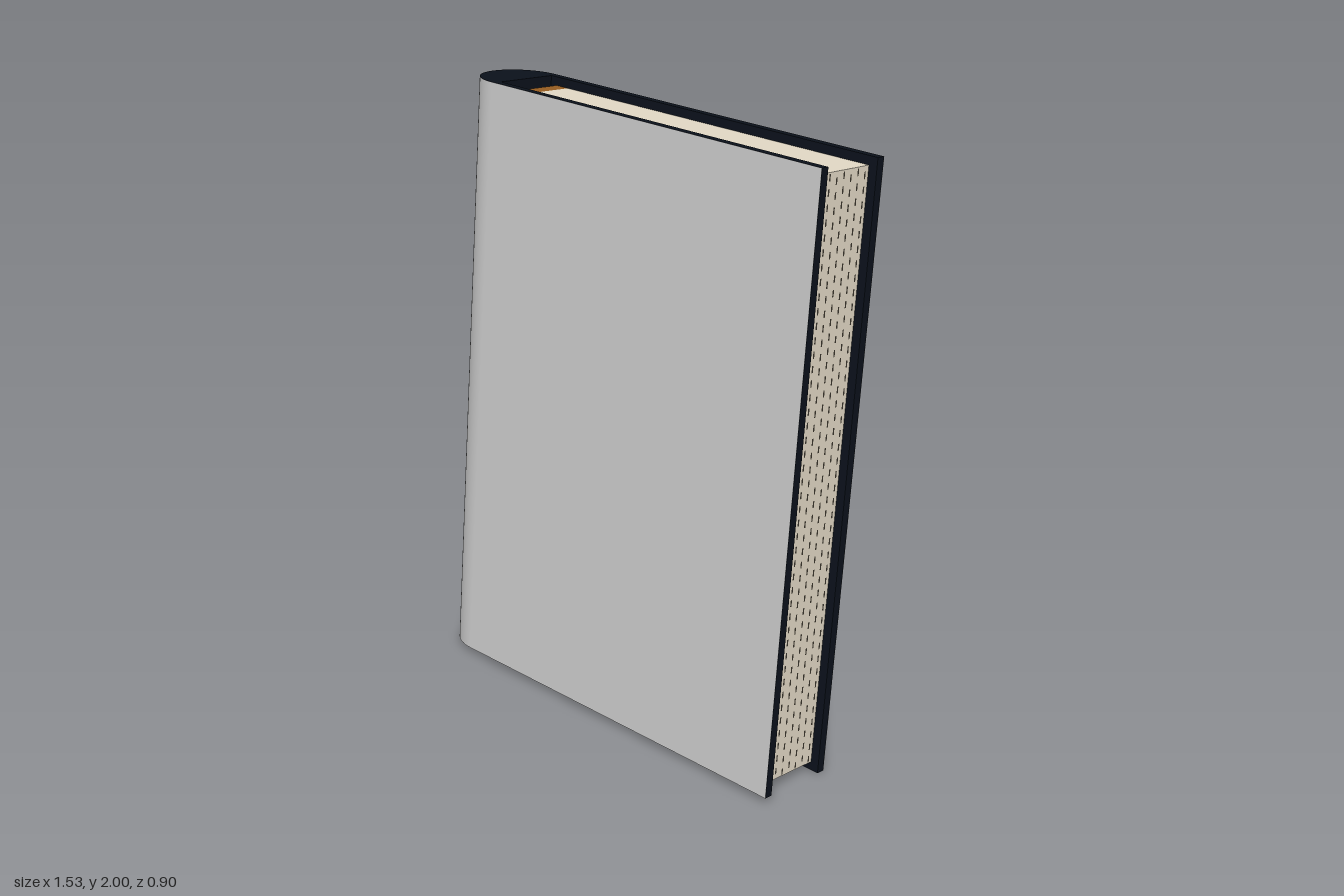
import * as THREE from 'three';
import { mergeGeometries } from 'three/addons/utils/BufferGeometryUtils.js';

const H = 1.983, R = 0.139, T = 0.028; // height, half thickness, board thickness
const EDGE = 0.754, ARC = -0.615; // fore-edge and spine centre
const INNER = R - T;

const paint = (color, side = THREE.FrontSide) => new THREE.MeshStandardMaterial({ color, side });

function part(name, geometry, material) {
  const mesh = new THREE.Mesh(geometry, material);
  mesh.name = name;
  return mesh;
}

// Box given by its x range, height and depth
function block(name, x0, x1, h, d, material) {
  const mesh = part(name, new THREE.BoxGeometry(x1 - x0, h, d), material);
  mesh.position.x = (x0 + x1) / 2;
  return mesh;
}

// Boards and solid rounded spine in one U-shaped section
function boardGeometry() {
  const s = new THREE.Shape();
  s.moveTo(EDGE, -R);
  s.lineTo(ARC, -R);
  s.absarc(ARC, 0, R, -Math.PI / 2, Math.PI / 2, true);
  s.lineTo(EDGE, R);
  s.lineTo(EDGE, INNER);
  s.lineTo(-0.6, INNER);
  s.lineTo(-0.6, -INNER);
  s.lineTo(EDGE, -INNER);
  s.closePath();
  const g = new THREE.ExtrudeGeometry(s, { depth: H, bevelEnabled: false, curveSegments: 32 });
  g.translate(0, 0, -H / 2);
  g.rotateX(-Math.PI / 2);
  return g;
}

// Smooth outer skin wrapped from the back board round the spine to the front
function skinGeometry() {
  const steps = 32, r = R + 0.001;
  const g = new THREE.PlaneGeometry(1, H, steps + 2, 1);
  const pos = g.attributes.position, nor = g.attributes.normal;
  for (let i = 0; i < pos.count; i++) {
    const col = i % (steps + 3);
    const k = THREE.MathUtils.clamp((col - 1) / steps, 0, 1);
    const a = -Math.PI / 2 - Math.PI * k;
    const flat = col === 0 || col === steps + 2;
    pos.setX(i, flat ? EDGE : ARC + r * Math.cos(a));
    pos.setZ(i, r * Math.sin(a));
    nor.setXYZ(i, Math.cos(a), 0, Math.sin(a));
  }
  return g;
}

// Rows of short dark dashes between the sheets on the fore-edge
function sheetLines(x, h) {
  const dashes = [], cols = 7, rows = 44;
  for (let c = 0; c < cols; c++) {
    for (let r = 0; r < rows; r++) {
      const d = new THREE.PlaneGeometry(0.006, 0.022);
      d.rotateY(Math.PI / 2);
      const y = ((r + 0.5 + (c % 2 ? 0.15 : -0.15)) / rows - 0.5) * h;
      d.translate(x, y, ((c + 0.5) / cols - 0.5) * 2 * INNER);
      dashes.push(d);
    }
  }
  return mergeGeometries(dashes);
}

export function createModel() {
  const book = new THREE.Group();
  book.name = 'book';
  const pageH = H - 0.056;

  book.add(
    part('coverBoards', boardGeometry(), paint(0x0b111b)),
    part('coverSkin', skinGeometry(), paint(0xcccccc, THREE.DoubleSide)),
    block('pageBlock', -0.522, 0.724, pageH, 2 * INNER, paint(0xe6dcc8)),
    block('bindingStrip', -0.575, -0.522, pageH, 2 * INNER, paint(0x9a5f22)),
    part('sheetLines', sheetLines(0.725, pageH), paint(0x3a352c))
  );

  // Turned to one side and leaning back
  book.rotation.order = 'YXZ';
  book.rotation.set(THREE.MathUtils.degToRad(-5), THREE.MathUtils.degToRad(-20), 0);
  book.position.set(-0.02, 1, -0.02);

  const model = new THREE.Group();
  model.name = 'leaningBook';
  model.add(book);
  return model;
}
